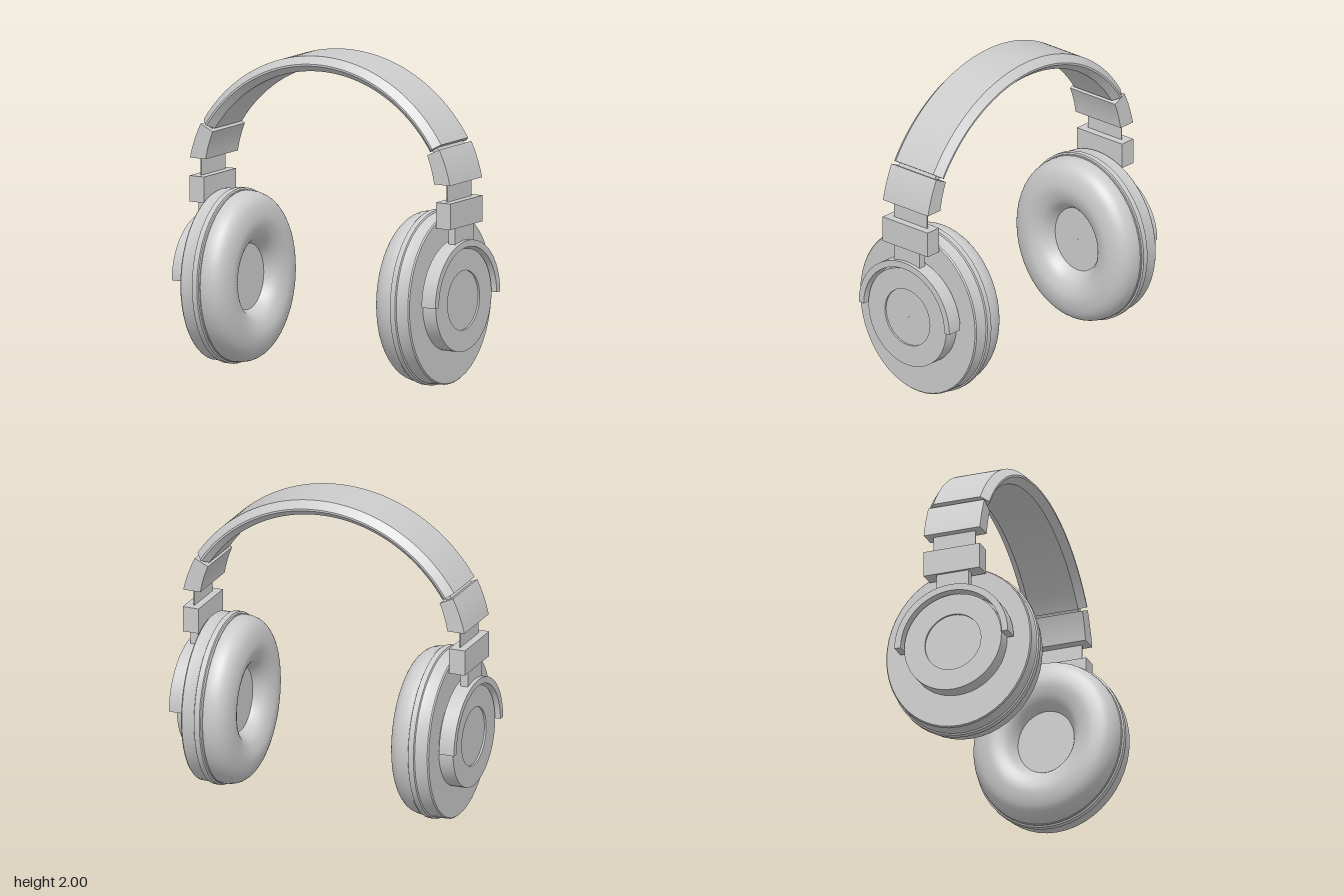
import * as THREE from 'three';
import { toCreasedNormals } from 'three/addons/utils/BufferGeometryUtils.js';

const mat = new THREE.MeshStandardMaterial({ color: 0xcccccc });
const V = (x, y) => new THREE.Vector2(x, y);
const CUP_Y = 0.547;     // centre height of the ear cups
const ARC_Y = 0.978;     // centre height of the headband arc
const BAND_END = 0.571;  // angle of the band ends above horizontal

function add(parent, name, geometry, crease = 0.5) {
  const mesh = new THREE.Mesh(toCreasedNormals(geometry, crease), mat);
  mesh.name = name;
  parent.add(mesh);
  return mesh;
}

// Box given by its limits in x and y, centred on z
function block(parent, name, x0, x1, y0, y1, depth) {
  const g = new THREE.BoxGeometry(x1 - x0, y1 - y0, depth);
  add(parent, name, g.translate((x0 + x1) / 2, (y0 + y1) / 2, 0));
}

// Turned part around the x axis; profile points are (radius, x)
function turned(points, segments, zScale = 1) {
  return new THREE.LatheGeometry(points, segments)
    .rotateZ(-Math.PI / 2).scale(1, 1, zScale).translate(0, CUP_Y, 0);
}

// Section of the band swept around the arc centre, with end caps
function arcBand(parent, name, section, end) {
  const half = Math.PI / 2 - end;
  const sweep = new THREE.LatheGeometry([...section, section[0]], 64, -half, 2 * half)
    .rotateX(-Math.PI / 2).translate(0, ARC_Y, 0);
  add(parent, name, sweep, 0.4);
  for (const side of [1, -1]) {
    const cap = new THREE.ShapeGeometry(new THREE.Shape(section))
      .rotateX(side * Math.PI / 2)
      .rotateZ(side > 0 ? end : Math.PI - end)
      .translate(0, ARC_Y, 0);
    add(parent, name + 'End', cap);
  }
}

// One complete earpiece, on the +x side
function createEarpiece() {
  const ear = new THREE.Group();

  // Cushion: rounded ring around a recessed speaker disc
  const cushion = new THREE.SplineCurve([
    V(0.2, 0.66), V(0.215, 0.62), V(0.26, 0.565), V(0.34, 0.535), V(0.41, 0.538),
    V(0.475, 0.56), V(0.515, 0.6), V(0.53, 0.65), V(0.53, 0.69),
  ]).getPoints(28);
  add(ear, 'cushion', turned(cushion, 48, 0.9), 0.7);
  add(ear, 'speakerDisc', turned([V(0.001, 0.64), V(0.23, 0.64)], 48, 0.9));

  // Shell with a raised rim and shallow grooves
  add(ear, 'cupShell', turned([
    V(0.4, 0.68), V(0.52, 0.68), V(0.535, 0.685), V(0.535, 0.695), V(0.545, 0.7),
    V(0.545, 0.735), V(0.535, 0.74), V(0.532, 0.75), V(0.532, 0.822), V(0.525, 0.83),
    V(0.001, 0.83),
  ], 48, 0.9));

  // Round hub with a shallow recess in its face
  add(ear, 'hub', turned([
    V(0.32, 0.82), V(0.32, 0.925), V(0.185, 0.925), V(0.185, 0.913), V(0.001, 0.913),
  ], 48));

  // Half-ring yoke around the hub
  const ring = new THREE.Shape();
  ring.absarc(0, 0, 0.373, 0, Math.PI, false);
  ring.absarc(0, 0, 0.332, Math.PI, 0, true);
  ring.closePath();
  const yoke = new THREE.ExtrudeGeometry(ring, { depth: 0.1, bevelEnabled: false, curveSegments: 32 });
  add(ear, 'yoke', yoke.rotateY(Math.PI / 2).translate(0.855, 0.55, 0));

  // Stem, slider block and thin adjusting strip
  block(ear, 'stem', 0.88, 0.93, 0.895, 1.03, 0.21);
  block(ear, 'sliderBlock', 0.84, 0.945, 1.013, 1.175, 0.37);
  block(ear, 'adjustingStrip', 0.888, 0.896, 1.16, 1.32, 0.275);

  // Curved sleeve at the end of the headband
  const outline = new THREE.Shape();
  outline.moveTo(0.828, 1.287);
  outline.lineTo(0.942, 1.287);
  outline.quadraticCurveTo(0.917, 1.402, 0.865, 1.505);
  outline.lineTo(0.777, 1.463);
  outline.quadraticCurveTo(0.812, 1.38, 0.828, 1.287);
  const sleeve = new THREE.ExtrudeGeometry(outline, { depth: 0.37, bevelEnabled: false, curveSegments: 10 });
  add(ear, 'sleeve', sleeve.translate(0, 0, -0.185));
  return ear;
}

export function createModel() {
  const model = new THREE.Group();
  model.name = 'headphones';

  // Headband with chamfered edges; section points are (radius, z)
  arcBand(model, 'headband', [
    V(0.927, -0.155), V(0.965, -0.2), V(0.977, -0.2), V(1.022, -0.155),
    V(1.022, 0.155), V(0.977, 0.2), V(0.965, 0.2), V(0.927, 0.155),
  ], BAND_END);

  // Inner core joining the band to the sleeves
  arcBand(model, 'bandCore', [
    V(0.945, -0.15), V(0.985, -0.15), V(0.985, 0.15), V(0.945, 0.15),
  ], BAND_END - 0.08);

  // The two earpieces are half-turn copies
  const left = createEarpiece();
  left.name = 'leftEarpiece';
  const right = createEarpiece();
  right.name = 'rightEarpiece';
  right.rotation.y = Math.PI;
  model.add(left, right);
  return model;
}
